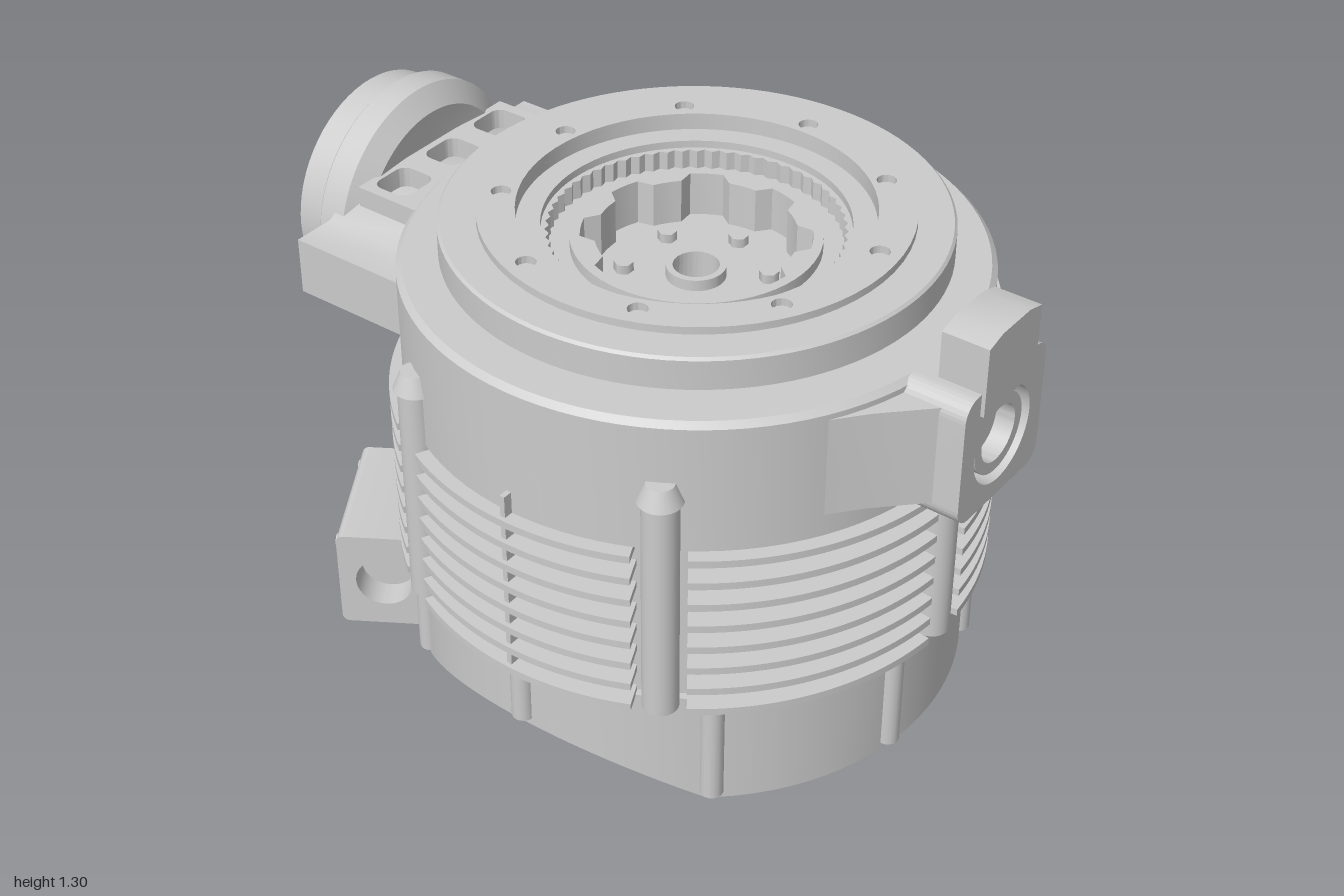
import * as THREE from 'three';
import { toCreasedNormals } from 'three/addons/utils/BufferGeometryUtils.js';
import { ConvexGeometry } from 'three/addons/geometries/ConvexGeometry.js';

const material = new THREE.MeshStandardMaterial({ color: 0xcccccc });
const TAU = Math.PI * 2;
const rad = THREE.MathUtils.degToRad;

function add(parent, name, geometry, x = 0, y = 0, z = 0) {
  const mesh = new THREE.Mesh(geometry, material);
  mesh.name = name;
  mesh.position.set(x, y, z);
  parent.add(mesh);
  return mesh;
}

const polygon = (pts) => new THREE.Shape(pts.map(([x, y]) => new THREE.Vector2(x, y)));
const circle = (r, x = 0, y = 0) => new THREE.Path().absarc(x, y, r, 0, TAU, true);
const disc = (r) => new THREE.Shape().absarc(0, 0, r, 0, TAU, false);

function roundedRect(x0, y0, x1, y1, r) {
  const s = new THREE.Shape();
  s.absarc(x1 - r, y0 + r, r, -Math.PI / 2, 0);
  s.absarc(x1 - r, y1 - r, r, 0, Math.PI / 2);
  s.absarc(x0 + r, y1 - r, r, Math.PI / 2, Math.PI);
  s.absarc(x0 + r, y0 + r, r, Math.PI, Math.PI * 1.5);
  s.closePath();
  return s;
}

function extrude(shape, depth, holes = []) {
  shape.holes.push(...holes);
  return toCreasedNormals(new THREE.ExtrudeGeometry(shape, { depth, bevelEnabled: false, curveSegments: 32 }), 0.6);
}
// Plan shape (x, z), pulled up from the origin
const extrudeUp = (shape, h, holes) => extrude(shape, h, holes).rotateX(Math.PI / 2).translate(0, h, 0);
// Side shape (z, y), pulled along +x
const extrudeX = (shape, d, holes) => extrude(shape, d, holes).rotateY(Math.PI / 2);

function lathe(pts, segments = 96) {
  return toCreasedNormals(new THREE.LatheGeometry(pts.map(([x, y]) => new THREE.Vector2(x, y)), segments), 0.5);
}

// Ring hole whose radius steps between two values
function steppedHole(rA, rB, count, steps) {
  const pts = [];
  for (let i = 0; i < count * steps; i++) {
    const a = -i / (count * steps) * TAU;
    const r = i % steps < steps / 2 ? rA : rB;
    pts.push(new THREE.Vector2(r * Math.cos(a), r * Math.sin(a)));
  }
  return new THREE.Path(pts);
}

export function createModel() {
  const model = new THREE.Group();
  model.name = 'pumpHousing';
  const body = new THREE.Group();
  body.name = 'body';
  body.position.x = 0.11;
  model.add(body);

  // Base: a cylinder with sloped cuts under its front and back
  const cutY = (z) => Math.max(0, (Math.abs(z) - 0.56) * 0.8);
  const R = 0.72, basePts = [];
  const angles = Array.from({ length: 96 }, (_, i) => i / 96 * TAU);
  const corner = Math.asin(0.56 / R);
  angles.push(corner, Math.PI - corner, Math.PI + corner, -corner);
  for (const a of angles) {
    const x = R * Math.cos(a), z = R * Math.sin(a);
    basePts.push(new THREE.Vector3(x, 0.33, z), new THREE.Vector3(x, cutY(z), z));
  }
  add(body, 'base', toCreasedNormals(new ConvexGeometry(basePts), 0.4));

  // Nine bolt columns around the base
  for (let i = 0; i < 9; i++) {
    const a = rad(10 + i * 40), x = 0.715 * Math.cos(a), z = 0.715 * Math.sin(a);
    const y0 = Math.max(0.02, cutY(Math.abs(z) + 0.03));
    add(body, 'baseColumn', new THREE.CylinderGeometry(0.03, 0.03, 0.33 - y0, 16), x, (0.33 + y0) / 2, z);
  }

  // Main housing, top ring and stepped recess
  add(body, 'housing', lathe([
    [0.70, 0.32], [0.70, 0.80], [0.735, 0.80], [0.735, 1.145], [0.72, 1.16], [0.57, 1.16],
    [0.57, 1.18], [0.63, 1.18], [0.63, 1.258], [0.623, 1.265], [0.44, 1.265], [0.44, 1.24],
    [0.38, 1.24], [0.38, 1.17], [0.29, 1.17], [0.29, 1.08], [0.06, 1.08], [0.06, 1.0], [0, 1.0],
  ]));

  // Top ring with nine bolt holes
  const ringHoles = [circle(0.44)];
  for (let i = 0; i < 9; i++) {
    const a = rad(-90 + i * 40);
    ringHoles.push(circle(0.025, 0.48 * Math.cos(a), 0.48 * Math.sin(a)));
  }
  add(body, 'topRing', extrudeUp(disc(0.535), 0.02, ringHoles), 0, 1.265);

  // Toothed ring, notched inner ring, hub and hub bolts inside the recess
  add(body, 'toothedRing', extrudeUp(disc(0.385), 0.05, [steppedHole(0.36, 0.37, 60, 2)]), 0, 1.17);
  add(body, 'innerRing', extrudeUp(disc(0.31), 0.12, [steppedHole(0.25, 0.285, 8, 8)]), 0, 1.08);
  add(body, 'hub', extrudeUp(disc(0.075), 0.03, [circle(0.058)]), 0, 1.08);
  for (let i = 0; i < 6; i++) {
    const a = rad(i * 60 + 30);
    add(body, 'hubBolt', new THREE.CylinderGeometry(0.025, 0.025, 0.03, 6), 0.18 * Math.cos(a), 1.09, 0.18 * Math.sin(a));
  }

  // Cooling fins in six arcs, parted by tall columns
  const gap = rad(5), sector = new THREE.Shape();
  sector.absarc(0, 0, 0.772, gap, Math.PI / 3 - gap, false);
  sector.absarc(0, 0, 0.68, Math.PI / 3 - gap, gap, true);
  sector.closePath();
  const finGeo = extrudeUp(sector, 0.02);
  for (let s = 0; s < 6; s++) {
    for (let f = 0; f < 8; f++) {
      add(body, 'coolingFin', finGeo, 0, 0.325 + f * 0.065, 0).rotation.y = s * Math.PI / 3;
    }
    const a = s * Math.PI / 3, x = 0.735 * Math.cos(a), z = 0.735 * Math.sin(a);
    const top = s % 3 ? 0.95 : 0.8;
    add(body, 'column', new THREE.CylinderGeometry(0.046, 0.046, top - 0.325, 24), x, (top + 0.325) / 2, z);
    if (s % 3) add(body, 'columnCap', new THREE.CylinderGeometry(0.035, 0.056, 0.05, 24), x, 0.97, z);
  }
  // Thin ribs at the front and back
  for (const side of [1, -1]) {
    add(body, 'thinRib', new THREE.BoxGeometry(0.014, 0.53, 0.06), 0, 0.595, side * 0.73);
  }

  // Small port on the left with its lug
  const smallPort = new THREE.Group();
  smallPort.name = 'smallPort';
  body.add(smallPort);
  add(smallPort, 'portRoot', extrudeUp(polygon([
    [0.5, -0.42], [0.61, -0.40], [0.70, -0.29], [0.80, -0.19], [0.82, -0.17],
    [0.82, 0.17], [0.80, 0.19], [0.70, 0.29], [0.61, 0.40], [0.5, 0.42],
  ]), 0.27, []), 0, 0.86);
  add(smallPort, 'portBlock', extrudeX(roundedRect(-0.18, 0.81, 0.18, 1.16, 0.05), 0.12), 0.70);
  add(smallPort, 'portFace', extrudeX(roundedRect(-0.18, 0.81, 0.18, 1.16, 0.05), 0.06, [circle(0.125, 0, 0.98)]), 0.82);
  add(smallPort, 'portCollar', extrudeX(disc(0.105), 0.05, [circle(0.075)]), 0.82, 0.98);
  add(smallPort, 'portLug', extrudeX(polygon([
    [-0.115, 1.10], [0.115, 1.10], [0.115, 1.285], [0.06, 1.30], [-0.06, 1.30], [-0.115, 1.285],
  ]), 0.125), 0.765);

  // Large port on the right: faceted neck, slotted top plate and flange
  const largePort = new THREE.Group();
  largePort.name = 'largePort';
  body.add(largePort);
  add(largePort, 'neck', extrudeX(polygon([
    [-0.27, 0.81], [0.27, 0.81], [0.33, 0.905], [0.45, 0.905], [0.45, 1.06],
    [0.33, 1.06], [0.27, 1.10], [-0.27, 1.10], [-0.33, 1.06], [-0.45, 1.06], [-0.45, 0.905], [-0.33, 0.905],
  ]), 0.36), -0.92);
  const slots = [-0.19, 0, 0.19].map((z) => new THREE.Path(
    roundedRect(-0.84, z - 0.06, -0.73, z + 0.06, 0.03).getPoints(6).reverse()));
  add(largePort, 'neckTop', extrudeUp(polygon([
    [-0.86, -0.28], [-0.45, -0.28], [-0.45, 0.28], [-0.86, 0.28],
  ]), 0.055, slots), 0, 1.10);

  const flange = new THREE.Group();
  flange.name = 'flange';
  flange.position.set(0, 0.98, 0);
  largePort.add(flange);
  add(flange, 'flangeBack', lathe([
    [0, -0.86], [0.20, -0.86], [0.27, -0.85], [0.325, -0.89], [0.325, -0.965], [0.315, -0.975], [0, -0.975],
  ].reverse()).rotateZ(-Math.PI / 2));
  const boltHoles = [circle(0.11)];
  for (let i = 0; i < 14; i++) {
    const a = i / 14 * TAU;
    boltHoles.push(circle(0.02, 0.235 * Math.cos(a), 0.235 * Math.sin(a)));
  }
  add(flange, 'flangeFace', extrudeX(disc(0.30), 0.09, boltHoles), -1.06);
  add(flange, 'flangeSpigot', extrudeX(disc(0.155), 0.06, [circle(0.11)]), -1.11);

  // Side box low on the front right corner
  const sideBox = new THREE.Group();
  sideBox.name = 'sideBox';
  sideBox.rotation.y = rad(212);
  body.add(sideBox);
  const side = () => roundedRect(0.55, 0.06, 0.92, 0.345, 0.02);
  add(sideBox, 'boxBody', extrude(side(), 0.31), 0, 0, -0.115);
  add(sideBox, 'boxSide', extrude(side(), 0.08, [circle(0.075, 0.80, 0.2)]), 0, 0, -0.195);
  for (const y of [0.10, 0.305]) {
    for (const z of [-0.16, 0.16]) {
      add(sideBox, 'boxBolt', new THREE.CylinderGeometry(0.018, 0.018, 0.02, 12).rotateZ(Math.PI / 2), 0.915, y, z);
    }
  }
  return model;
}
